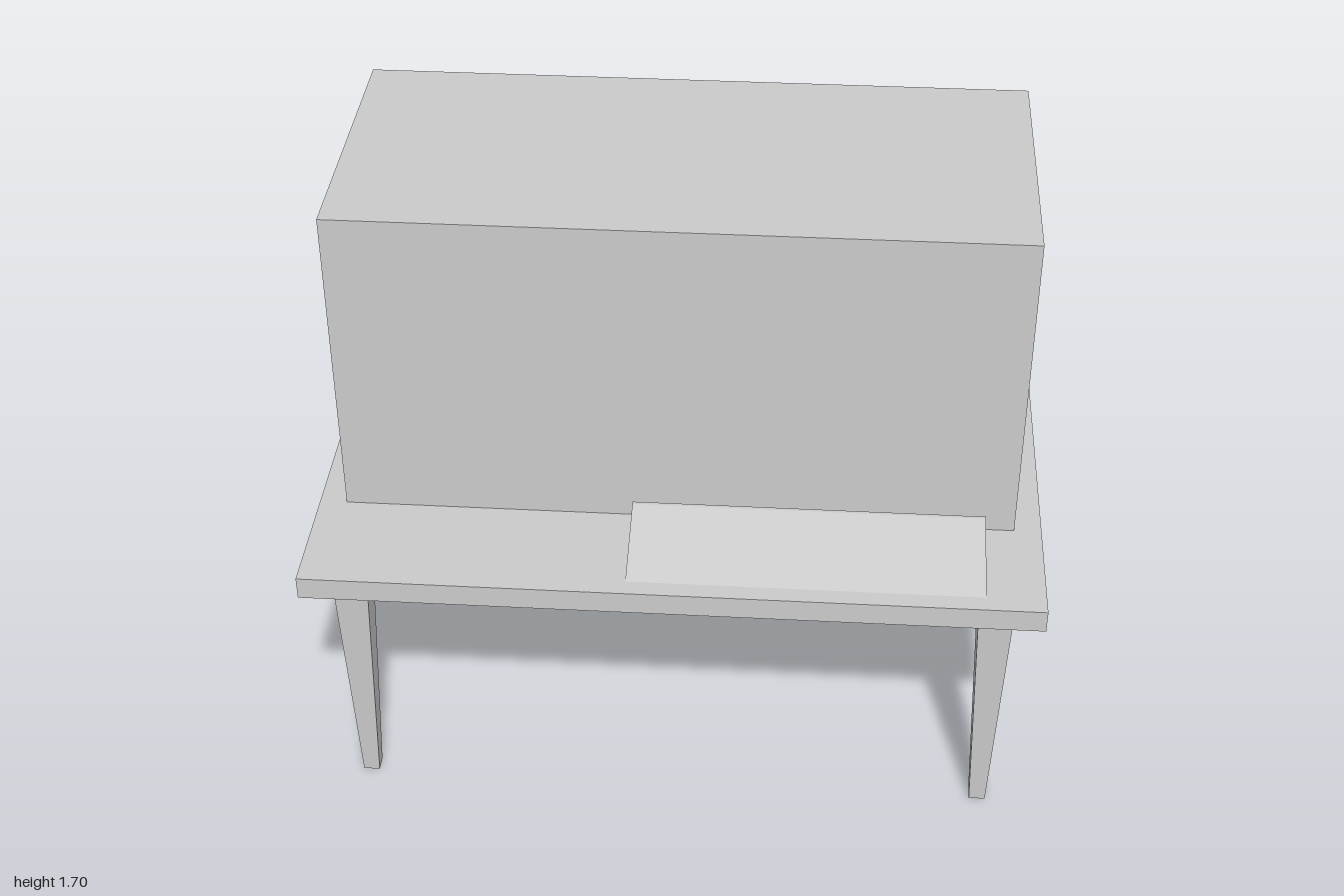
import * as THREE from 'three';

const material = new THREE.MeshStandardMaterial({ color: 0xcccccc, flatShading: true });

function add(parent, name, geometry, x = 0, y = 0, z = 0) {
  const mesh = new THREE.Mesh(geometry, material);
  mesh.name = name;
  mesh.position.set(x, y, z);
  parent.add(mesh);
  return mesh;
}

// Box whose bottom face is shrunk by the given factors
function taperedBox(w, h, d, sx, sz) {
  const geometry = new THREE.BoxGeometry(w, h, d);
  const p = geometry.attributes.position;
  for (let i = 0; i < p.count; i++) {
    if (p.getY(i) < 0) p.setXYZ(i, p.getX(i) * sx, p.getY(i), p.getZ(i) * sz);
  }
  geometry.computeVertexNormals();
  return geometry;
}

export function createModel() {
  const model = new THREE.Group();
  model.name = 'tableWithCabinet';

  // Table top: square-edged slab over a chamfered underside
  const top = new THREE.Group();
  top.name = 'tableTop';
  model.add(top);
  add(top, 'slab', new THREE.BoxGeometry(2, 0.065, 1.245), 0, 0.7525, -0.002);
  add(top, 'chamferedUnderside', taperedBox(2, 0.06, 1.245, 0.92, 0.885), 0, 0.69, -0.002);

  // Four legs tapering towards the floor
  for (const [side, x] of [['Left', 0.873], ['Right', -0.873]]) {
    for (const [end, z] of [['front', 0.504], ['back', -0.507]]) {
      add(model, `${end}${side}Leg`, taperedBox(0.092, 0.66, 0.092, 0.49, 0.49), x, 0.33, z);
    }
  }

  // Large box standing towards the back
  add(model, 'cabinet', new THREE.BoxGeometry(1.85, 0.915, 0.825), 0, 1.2425, -0.1325);

  // Sloping wedge in front of the cabinet: profile in (-z, y), extruded along x
  const profile = new THREE.Shape([
    [-0.57, 0.785], [-0.328, 0.785], [-0.328, 0.867], [-0.337, 0.867],
  ].map(([a, b]) => new THREE.Vector2(a, b)));
  const wedge = new THREE.ExtrudeGeometry(profile, { depth: 0.96, bevelEnabled: false });
  wedge.rotateY(Math.PI / 2);
  add(model, 'slopedPanel', wedge, -0.12);

  return model;
}
